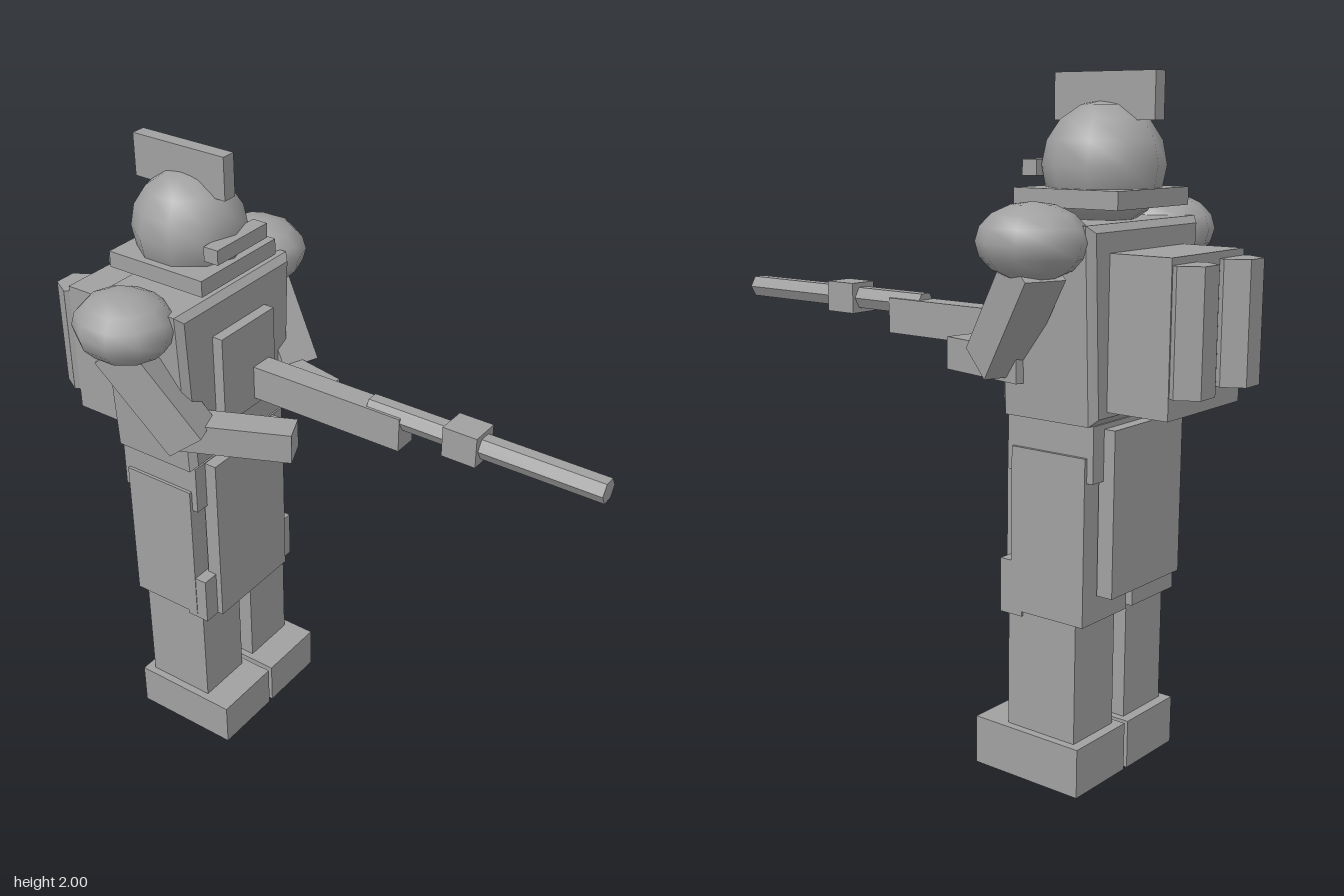
import * as THREE from 'three';

export function createModel() {
  const model = new THREE.Group();
  const grey = new THREE.MeshStandardMaterial({ color: 0xa0a0a0 });
  grey.name = 'plain grey';

  const add = (name, geometry, x = 0, y = 0, z = 0) => {
    const mesh = new THREE.Mesh(geometry, grey);
    mesh.name = name;
    mesh.position.set(x, y, z);
    model.add(mesh);
    return mesh;
  };
  // Box given by its limits on each axis
  const box = (name, x0, x1, y0, y1, z0, z1) =>
    add(name, new THREE.BoxGeometry(x1 - x0, y1 - y0, z1 - z0),
      (x0 + x1) / 2, (y0 + y1) / 2, (z0 + z1) / 2);
  // The same box on the left and right
  const pair = (name, x0, x1, ...rest) => {
    box('left' + name, x0, x1, ...rest);
    box('right' + name, -x1, -x0, ...rest);
  };
  // Square bar between two points
  const bar = (name, a, b, w, h) => {
    const from = new THREE.Vector3(...a), to = new THREE.Vector3(...b);
    const mesh = add(name, new THREE.BoxGeometry(w, h, from.distanceTo(to)));
    mesh.position.copy(from).add(to).multiplyScalar(0.5);
    mesh.lookAt(to);
    return mesh;
  };
  // Low-poly smooth ball, stretched on each axis
  const ball = (name, x, y, z, rx, ry, rz) =>
    add(name, new THREE.SphereGeometry(1, 10, 8).rotateY(Math.PI / 2).scale(rx, ry, rz), x, y, z);
  // Six-sided prism along y with corners at its sides
  const hexPrism = (r, length) => {
    const g = new THREE.CylinderGeometry(r, r, length, 6).rotateY(Math.PI / 6).toNonIndexed();
    g.computeVertexNormals();
    return g;
  };

  // Legs
  pair('Boot', 0.008, 0.245, 0, 0.145, -0.585, -0.22);
  pair('Shin', 0.03, 0.22, 0.145, 0.5, -0.555, -0.32);
  pair('Thigh', 0.015, 0.23, 0.5, 0.98, -0.585, -0.335);
  pair('KneePlate', 0.03, 0.228, 0.485, 0.645, -0.372, -0.295);

  // Hips and hanging panels
  box('hips', -0.22, 0.22, 0.91, 1.07, -0.605, -0.315);
  box('frontTabard', -0.173, 0.173, 0.487, 1.068, -0.325, -0.275);
  box('backTabard', -0.17, 0.17, 0.58, 1.055, -0.64, -0.59);

  // Tapered torso with chamfered edges
  const bevel = 0.02;
  const outline = new THREE.Shape([[-0.22, 1.09], [0.22, 1.09], [0.245, 1.585], [-0.245, 1.585]]
    .map(([x, y]) => new THREE.Vector2(x, y)));
  add('torso', new THREE.ExtrudeGeometry(outline, {
    depth: 0.32 - 2 * bevel, bevelEnabled: true,
    bevelThickness: bevel, bevelSize: bevel, bevelSegments: 1,
  }), 0, 0, -0.62 + bevel);
  box('chestPlate', -0.125, 0.125, 1.2, 1.49, -0.31, -0.265);

  // Head
  ball('head', 0, 1.75, -0.47, 0.166, 0.175, 0.175);
  box('collar', -0.173, 0.173, 1.64, 1.69, -0.635, -0.29);
  box('visor', -0.115, 0.115, 1.72, 1.765, -0.325, -0.275);
  box('crest', -0.023, 0.023, 1.87, 2, -0.645, -0.315);

  // Shoulders and upper arms
  for (const [side, s] of [['left', 1], ['right', -1]]) {
    ball(side + 'Shoulder', s * 0.312, 1.56, -0.465, 0.144, 0.105, 0.157);
    bar(side + 'UpperArm', [s * 0.325, 1.5, -0.485], [s * 0.252, 1.215, -0.29], 0.125, 0.125);
  }
  // Forearms reach for the weapon
  bar('leftForearm', [0.225, 1.213, -0.39], [0.165, 1.213, -0.09], 0.095, 0.095);
  bar('rightForearm', [-0.235, 1.213, -0.345], [-0.094, 1.213, -0.03], 0.095, 0.095);

  // Backpack with twin stacks
  box('backpack', -0.182, 0.182, 1.105, 1.53, -0.81, -0.6);
  for (const [side, s] of [['left', 1], ['right', -1]])
    add(side + 'Stack', hexPrism(0.071, 0.345), s * 0.117, 1.338, -0.828);

  // Long weapon
  box('weaponBody', 0.019, 0.095, 1.225, 1.333, -0.27, 0.257);
  add('weaponBarrel', hexPrism(0.037, 0.755).rotateX(Math.PI / 2), 0.057, 1.32, 0.517);
  box('barrelBlock', 0.01, 0.104, 1.272, 1.367, 0.405, 0.515);

  return model;
}
